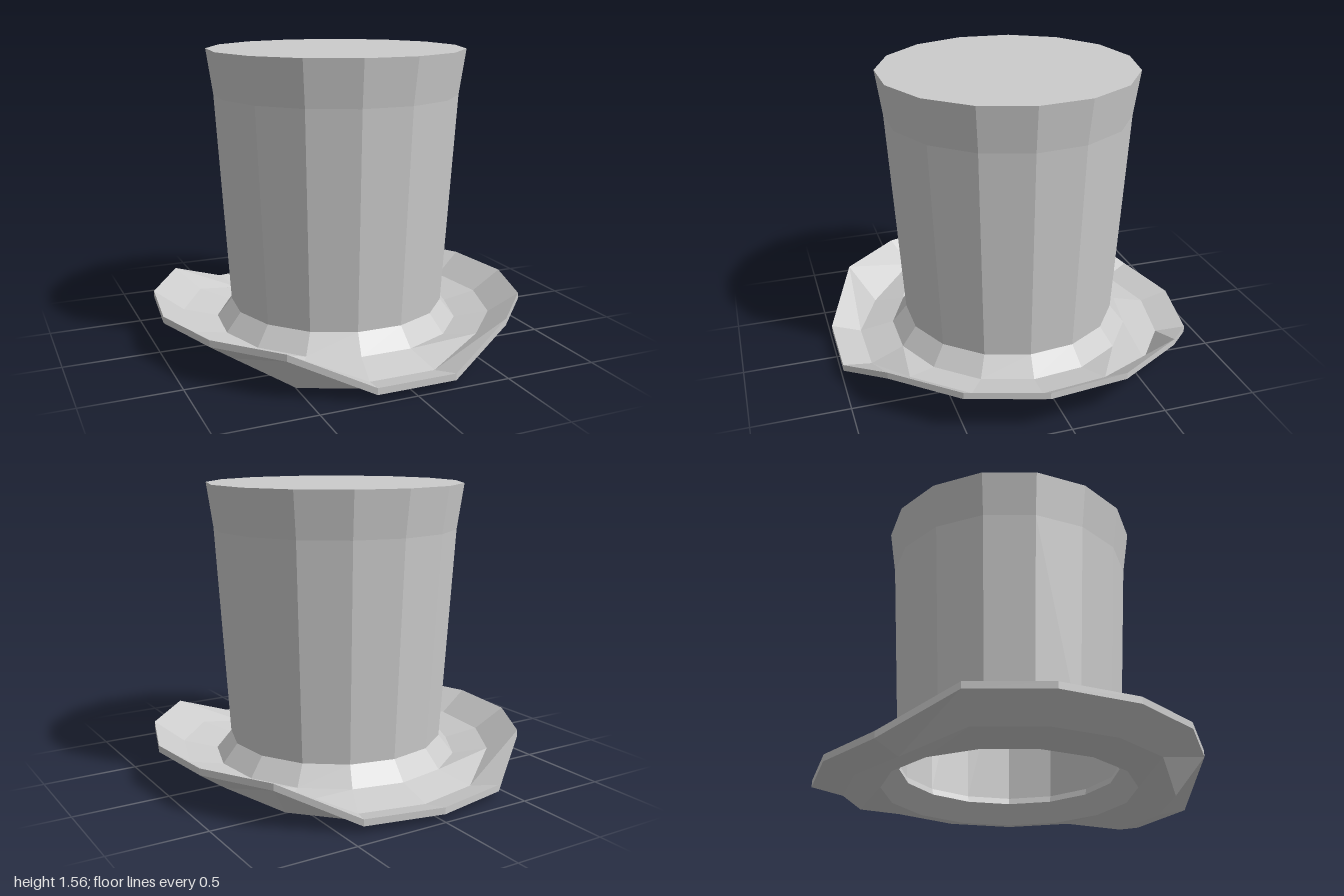
import * as THREE from 'three';

const SIDES = 15;

// Rings start at the back (-z) and run round by the left-hand side of the front view (-x).
const ringPoint = (r, i, y) => {
  const a = Math.PI + (i / SIDES) * Math.PI * 2;
  return [r * Math.sin(a), y, r * Math.cos(a)];
};

// Skin a list of rings, folding each quad along its higher diagonal.
function skinRings(rings) {
  const pos = [], index = [];
  for (const { r, y } of rings) {
    for (let i = 0; i < SIDES; i++) pos.push(...ringPoint(r, i, y(i)));
  }
  for (let j = 0; j < rings.length - 1; j++) {
    for (let i = 0; i < SIDES; i++) {
      const n = (i + 1) % SIDES;
      const a = j * SIDES + i, b = j * SIDES + n;
      const c = b + SIDES, d = a + SIDES;
      const h = (v) => pos[v * 3 + 1];
      if (h(a) + h(c) >= h(b) + h(d)) index.push(a, b, c, a, c, d);
      else index.push(a, b, d, b, c, d);
    }
  }
  const geo = new THREE.BufferGeometry();
  geo.setAttribute('position', new THREE.Float32BufferAttribute(pos, 3));
  geo.setIndex(index);
  geo.computeVertexNormals();
  return geo;
}

export function createModel() {
  const group = new THREE.Group();
  group.name = 'topHat';
  const material = new THREE.MeshStandardMaterial({
    color: 0xcccccc, flatShading: true, side: THREE.DoubleSide,
  });
  const add = (name, geo) => {
    const mesh = new THREE.Mesh(geo, material);
    mesh.name = name;
    group.add(mesh);
    return mesh;
  };

  // Crown: tapered wall that widens towards the top
  const wall = [[0.57, 0.155], [0.58, 0.19], [0.65, 1.325], [0.685, 1.565]];
  add('crown', new THREE.LatheGeometry(
    wall.map(([r, y]) => new THREE.Vector2(r, y)), SIDES, Math.PI));

  // Flat lid
  const lid = add('crownTop', new THREE.CircleGeometry(0.685, SIDES, Math.PI / 2));
  lid.rotation.x = -Math.PI / 2;
  lid.position.y = 1.565;

  // Brim: sides curled up, front and back dipped, with a slight twist
  const rim = (i) => ((i >= 2 && i <= 6) || (i >= 9 && i <= 13) ? 0.242 : 0.08);
  const middle = (i) => {
    if ((i >= 2 && i <= 5) || (i >= 9 && i <= 12)) return 0.13;
    return i === 13 ? 0.07 : 0.04;
  };
  const thick = 0.035;
  add('brim', skinRings([
    { r: 0.57, y: () => 0.155 },
    { r: 0.66, y: () => 0.055 },
    { r: 0.845, y: (i) => middle(i) - thick },
    { r: 1.005, y: (i) => rim(i) - thick },
    { r: 1.005, y: rim },
    { r: 0.845, y: middle },
    { r: 0.66, y: () => 0.09 },
    { r: 0.58, y: () => 0.19 },
  ]));

  // Centre the footprint and rest the lowest point on the ground
  for (const part of group.children) {
    part.position.z += 0.01;
    part.position.y -= 0.005;
  }
  return group;
}
